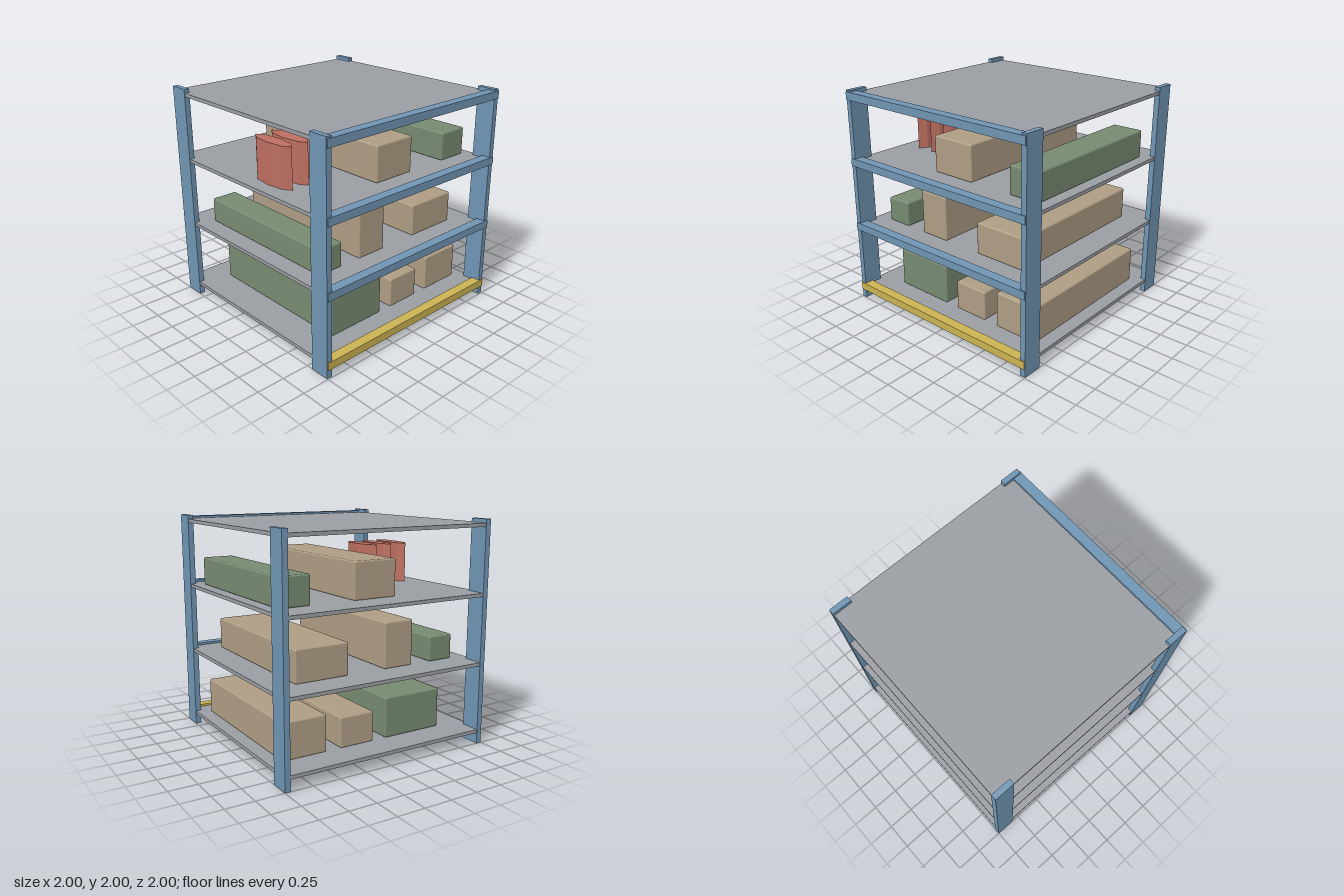
import * as THREE from 'three';
import { RoundedBoxGeometry } from 'three/addons/geometries/RoundedBoxGeometry.js';

function material(name, color, flatShading = false) {
  const m = new THREE.MeshStandardMaterial({ color, flatShading });
  m.name = name;
  return m;
}

export function createModel() {
  const root = new THREE.Group();
  root.name = 'storageRack';

  const blue = material('steelBlue', 0x7095b4);
  const yellow = material('safetyYellow', 0xcbb252);
  const grey = material('shelfGrey', 0x9a9da2);
  const tan = material('cardboardTan', 0xae9d84);
  const green = material('crateGreen', 0x778a71);
  const red = material('drumRed', 0xbd6e60, true);

  function add(name, geometry, mat, x, y, z) {
    const mesh = new THREE.Mesh(geometry, mat);
    mesh.name = name;
    mesh.position.set(x, y, z);
    root.add(mesh);
    return mesh;
  }

  // Four upright posts
  const postGeo = new THREE.BoxGeometry(0.05, 2, 0.18);
  for (const side of [-1, 1]) {
    const label = side > 0 ? 'Left' : 'Right';
    add('frontPost' + label, postGeo, blue, side * 0.975, 1, 0.9);
    add('backPost' + label, postGeo, blue, side * 0.975, 1, -0.91);
  }

  // Shelf plates with a beam along the front; the lowest beam is yellow
  const levels = [0.113, 0.733, 1.351, 1.95];
  const thick = 0.032;
  const shelfGeo = new THREE.BoxGeometry(1.99, thick, 1.96);
  const beamGeo = new THREE.BoxGeometry(1.99, 0.07, 0.09);
  levels.forEach((y, i) => {
    add('shelf' + (i + 1), shelfGeo, grey, 0, y, -0.015);
    add('frontBeam' + (i + 1), beamGeo, i === 0 ? yellow : blue, 0, y, 0.955);
  });

  // Long soft-edged boxes: shelf index, left edge, right edge, top, material
  const boxes = [
    [0, -0.71, -0.13, 0.49, green],
    [0, 0.0, 0.33, 0.4, tan],
    [0, 0.465, 0.88, 0.455, tan],
    [1, -0.84, -0.595, 0.975, green],
    [1, -0.4, -0.11, 1.155, tan],
    [1, 0.255, 0.755, 1.035, tan],
    [2, -0.21, 0.205, 1.69, tan],
    [2, 0.61, 0.9, 1.62, green],
  ];
  boxes.forEach(([level, x0, x1, top, mat], i) => {
    const base = levels[level] + thick / 2;
    const geo = new RoundedBoxGeometry(x1 - x0, top - base, 1.46, 2, 0.015);
    add('storedBox' + (i + 1), geo, mat, (x0 + x1) / 2, (base + top) / 2, -0.005);
  });

  // Three flattened eight-sided drums on the third shelf
  const drumBase = levels[2] + thick / 2;
  const drumHeight = 1.73 - drumBase;
  const drumGeo = new THREE.CylinderGeometry(1, 1, drumHeight, 8);
  drumGeo.scale(0.068, 1, 0.232);
  [-0.8, -0.633, -0.466].forEach((x, i) => {
    add('drum' + (i + 1), drumGeo, red, x, drumBase + drumHeight / 2, 0.14);
  });

  return root;
}
